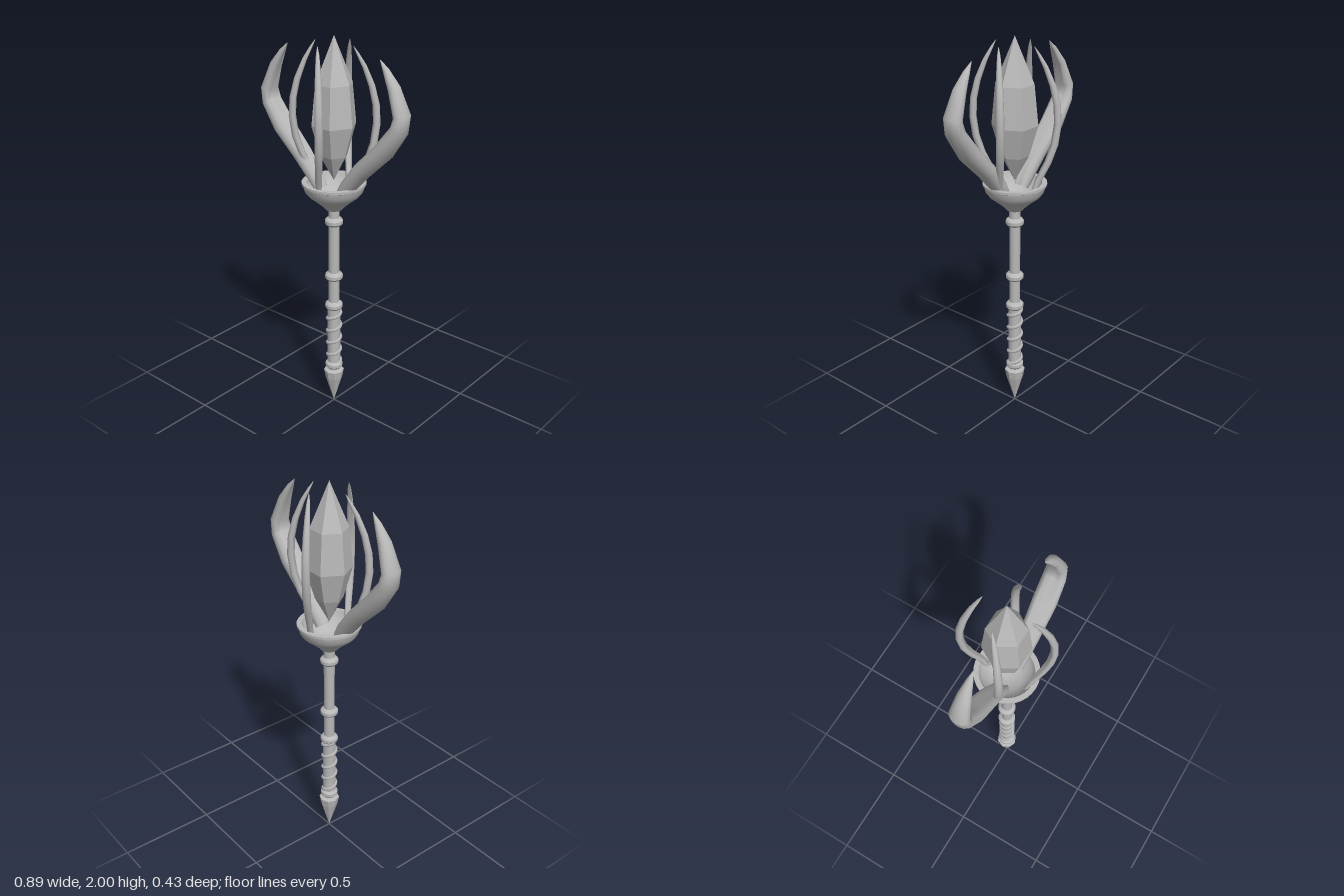
import * as THREE from 'three';
import { toCreasedNormals } from 'three/addons/utils/BufferGeometryUtils.js';

const metal = new THREE.MeshStandardMaterial({ color: 0xb8b8b8 });
metal.name = 'grey metal';

function add(parent, name, geometry) {
  const mesh = new THREE.Mesh(geometry, metal);
  mesh.name = name;
  parent.add(mesh);
  return mesh;
}

// Lathe from [radius, y] points, bottom to top; edges above the crease angle stay sharp
function turned(profile, sides, crease = 0.6) {
  const points = profile.map(([r, y]) => new THREE.Vector2(r, y));
  return toCreasedNormals(new THREE.LatheGeometry(points, sides), crease);
}

// Tapered claw in the xy plane from rows [x, y, half depth, half width], grooved on its inner side
function claw(rows, sides = 12) {
  const positions = [];
  const index = [];
  rows.forEach(([x, y, depth, width], i) => {
    const before = rows[Math.max(i - 1, 0)];
    const after = rows[Math.min(i + 1, rows.length - 1)];
    const t = new THREE.Vector2(after[0] - before[0], after[1] - before[1]).normalize();
    for (let j = 0; j < sides; j++) {
      const p = (j / sides) * Math.PI * 2;
      const c = Math.cos(p) < -0.95 ? -0.55 : Math.cos(p);
      positions.push(x + t.y * depth * c, y - t.x * depth * c, width * Math.sin(p));
      if (i < rows.length - 1) {
        const a = i * sides + j;
        const b = i * sides + ((j + 1) % sides);
        index.push(a, a + sides, b, b, a + sides, b + sides);
      }
    }
  });
  const geometry = new THREE.BufferGeometry();
  geometry.setAttribute('position', new THREE.Float32BufferAttribute(positions, 3));
  geometry.setIndex(index);
  geometry.computeVertexNormals();
  return geometry;
}

// Spiral around the grip
class Spiral extends THREE.Curve {
  getPoint(t, target = new THREE.Vector3()) {
    const a = t * Math.PI * 2 * 4.5;
    return target.set(Math.cos(a) * 0.035, 0.25 + t * 0.33, -Math.sin(a) * 0.035);
  }
}

export function createModel() {
  const model = new THREE.Group();
  model.name = 'sceptre';

  // Faceted foot spike
  add(model, 'footSpike', turned([[0, 0], [0.046, 0.155], [0.054, 0.2], [0.03, 0.206], [0, 0.206]], 8, 0.05));

  // Shaft, grip and wrapping
  const shaft = new THREE.CylinderGeometry(0.028, 0.028, 0.96, 16);
  add(model, 'shaft', shaft).position.y = 0.67;
  const grip = new THREE.CylinderGeometry(0.034, 0.034, 0.37, 16);
  add(model, 'grip', grip).position.y = 0.41;
  add(model, 'gripWrap', new THREE.TubeGeometry(new Spiral(), 120, 0.0095, 6));

  // Collars along the shaft
  const collar = turned([[0.026, -0.024], [0.038, -0.018], [0.046, -0.008], [0.046, 0.008], [0.038, 0.018], [0.026, 0.024]], 16);
  for (const y of [0.235, 0.595, 0.765, 1.07]) add(model, 'collar', collar).position.y = y;

  // Hollow cup
  add(model, 'cup', turned([
    [0, 1.135], [0.042, 1.138], [0.062, 1.16], [0.09, 1.185], [0.128, 1.215], [0.147, 1.24],
    [0.153, 1.268], [0.16, 1.272], [0.16, 1.284], [0.135, 1.284], [0.12, 1.24], [0.07, 1.2], [0, 1.19],
  ], 32));

  // Six-sided crystal with corners on the x axis
  const crystal = turned([[0, 1.29], [0.07, 1.42], [0.114, 1.575], [0.094, 1.775], [0, 2]], 6, 0.02);
  add(model, 'crystal', crystal).rotation.y = Math.PI / 6;

  // Two large side horns
  const horn = claw([
    [0.07, 1.235, 0.034, 0.036], [0.1, 1.28, 0.04, 0.042], [0.19, 1.388, 0.045, 0.052], [0.312, 1.508, 0.048, 0.06],
    [0.397, 1.625, 0.04, 0.056], [0.41, 1.692, 0.036, 0.05], [0.362, 1.812, 0.028, 0.034],
    [0.315, 1.885, 0.015, 0.017], [0.28, 1.93, 0.001, 0.001],
  ]);
  for (const turn of [0, Math.PI]) {
    const side = add(model, turn ? 'rightHorn' : 'leftHorn', horn);
    side.rotation.y = turn;
    side.position.z = 0.015;
  }

  // Four slim prongs, each bowed out at a slant around the crystal
  const prong = claw([
    [-0.005, 1.23, 0.015, 0.014], [0.025, 1.32, 0.017, 0.016], [0.07, 1.41, 0.018, 0.018], [0.1, 1.5, 0.019, 0.02],
    [0.113, 1.6, 0.019, 0.02], [0.108, 1.69, 0.018, 0.019], [0.087, 1.78, 0.016, 0.017],
    [0.052, 1.87, 0.012, 0.013], [0.02, 1.93, 0.007, 0.008], [0, 1.965, 0.001, 0.001],
  ]);
  prong.rotateY(0.75).translate(0.115, 0, 0);
  for (let i = 0; i < 4; i++) add(model, 'prong', prong).rotation.y = (i * Math.PI) / 2;

  return model;
}
